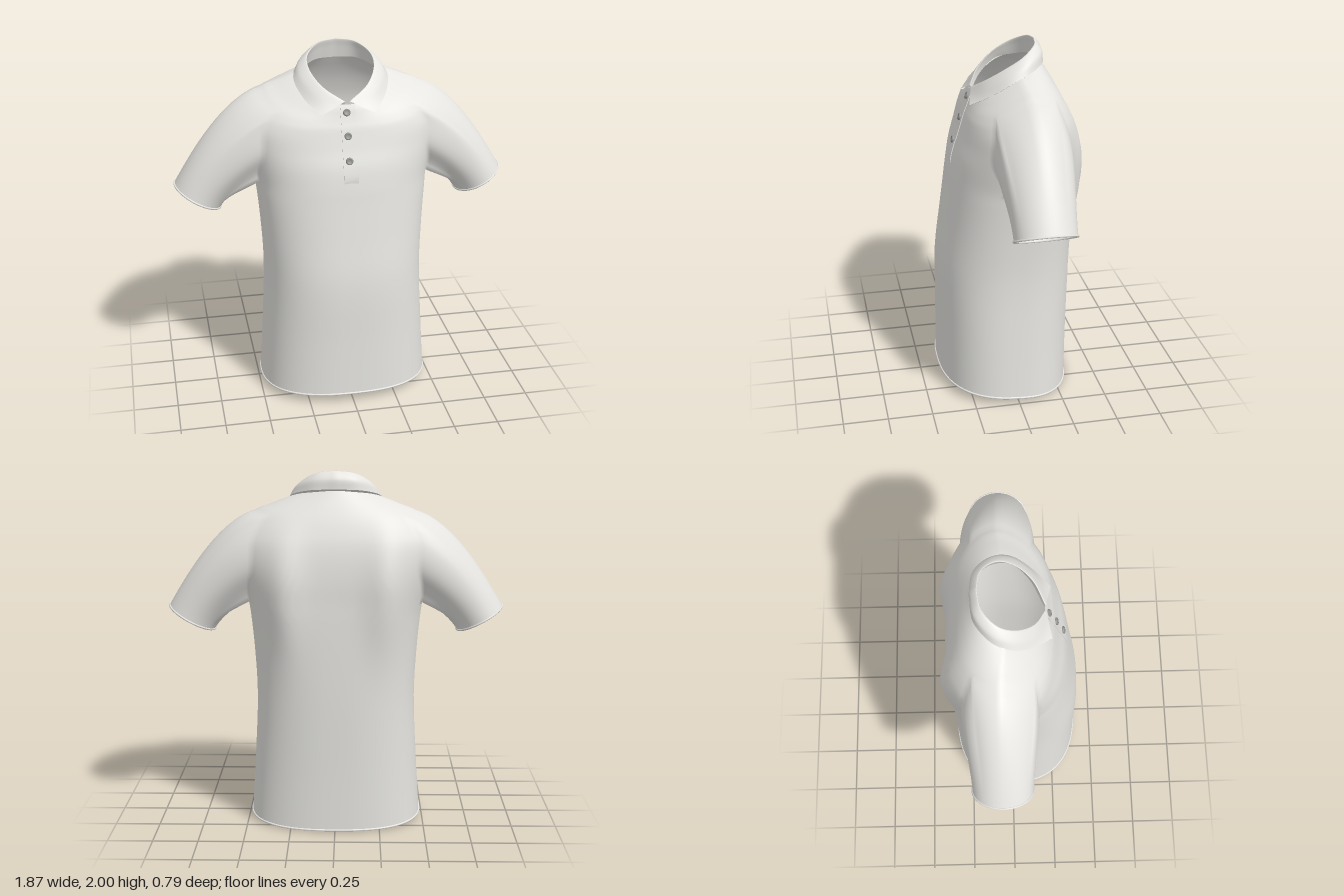
import * as THREE from 'three';
import { mergeGeometries, mergeVertices } from 'three/addons/utils/BufferGeometryUtils.js';

const V = (x, y, z) => new THREE.Vector3(x, y, z);
const curve = (pts, closed = false) => new THREE.CatmullRomCurve3(pts.map((p) => (p.isVector3 ? p : V(...p))), closed);
const mirrorRow = (row) => row.map((p) => V(-p.x, p.y, p.z)).reverse();

// Skin a list of point rows; skip(r, c) leaves a hole.
function loft(rows, closed, skip = () => false) {
  const n = rows[0].length, index = [];
  for (let r = 0; r < rows.length - 1; r++) {
    for (let c = 0; c < (closed ? n : n - 1); c++) {
      if (skip(r, c)) continue;
      const a = r * n + c, b = r * n + ((c + 1) % n);
      index.push(a, a + n, b, b, a + n, b + n);
    }
  }
  const g = new THREE.BufferGeometry();
  g.setAttribute('position', new THREE.Float32BufferAttribute(rows.flat().flatMap((p) => [p.x, p.y, p.z]), 3));
  g.setIndex(index);
  g.computeVertexNormals();
  return g;
}

// Torso profiles from hem to neck: side seam, centre front, centre back.
const SIDE = curve([
  [.485, .035, 0], [.465, .35, 0], [.447, .73, -.01], [.458, 1, -.02], [.475, 1.2, -.04], [.485, 1.28, -.06], [.51, 1.4, -.07],
  [.53, 1.52, -.07], [.53, 1.63, -.07], [.49, 1.72, -.065], [.44, 1.78, -.06], [.36, 1.812, -.055], [.28, 1.842, -.045], [.22, 1.86, -.04]]);
const FRONT = curve([
  [0, .06, .395], [0, .38, .39], [0, .74, .385], [0, 1, .35], [0, 1.2, .322], [0, 1.29, .31], [0, 1.4, .288],
  [0, 1.49, .258], [0, 1.56, .237], [0, 1.61, .222], [0, 1.645, .208], [0, 1.675, .197], [0, 1.705, .187], [0, 1.73, .176]]);
const BACK = curve([
  [0, .01, -.345], [0, .33, -.35], [0, .72, -.36], [0, 1, -.362], [0, 1.2, -.36], [0, 1.3, -.357], [0, 1.42, -.355],
  [0, 1.53, -.345], [0, 1.62, -.328], [0, 1.69, -.305], [0, 1.75, -.28], [0, 1.81, -.248], [0, 1.86, -.217], [0, 1.895, -.195]]);
const KEYS = 13, STEP = 4, COLS = 80;
const ARM = 8, ARM_LOW = 5 * STEP, ARM_TOP = 10 * STEP; // armhole limits on the torso grid

function torsoPoint(r, c) {
  const k = r / STEP, u = k / KEYS;
  let t = (c / COLS) * Math.PI * 2;
  t -= .36 * Math.exp(-(((k - 5) / 1.2) ** 2)) * Math.sin(2 * t); // narrows the armhole at the armpit
  const p = .8 + .2 * THREE.MathUtils.clamp((k - 9) / 4, 0, 1);
  const isBack = Math.sin(t) < 0;
  const depthPower = isBack ? p - .2 * Math.exp(-(((k - 7) / 2) ** 2)) : p; // squarer behind the arms
  const s = Math.abs(Math.sin(t)) ** depthPower, cos = Math.cos(t);
  const side = SIDE.getPoint(u), end = (isBack ? BACK : FRONT).getPoint(u);
  const q = side.clone().lerp(end, s);
  q.x = side.x * Math.sign(cos) * Math.abs(cos) ** p;
  // shoulder blade fullness
  if (isBack) q.z -= .052 * Math.exp(-(((Math.abs(q.x) - .28) / .1) ** 2) - ((q.y - 1.33) / .3) ** 2);
  return q;
}

// Sleeve rows run from the armhole border to an oval cuff.
function sleeveRows(grid) {
  const border = [], at = (r, c) => border.push(grid[r][(c + COLS) % COLS]);
  for (let c = ARM; c > -ARM; c--) at(ARM_TOP, c);
  for (let r = ARM_TOP; r > ARM_LOW; r--) at(r, -ARM);
  for (let c = -ARM; c < ARM; c++) at(ARM_LOW, c);
  for (let r = ARM_LOW; r < ARM_TOP; r++) at(r, ARM);
  const threads = border.map((p) => {
    const a = Math.atan2((p.z + .06) / .2, (p.y - 1.53) / .25);
    const cuff = V(.805 + .125 * Math.cos(a), 1.18 + .07 * Math.cos(a), -.06 + .165 * Math.sin(a));
    const len = p.distanceTo(cuff), drop = -.38 + .13 * Math.cos(a);
    return new THREE.CubicBezierCurve3(p,
      p.clone().addScaledVector(V(.93, drop, 0), len * .3),
      cuff.clone().addScaledVector(V(.5, -.86, 0), -len * .3), cuff);
  });
  return Array.from({ length: 21 }, (_, i) => threads.map((th) => th.getPoint(i / 20)));
}

// Collar: turned-under rim, leaf, rolled fold and inner stand, each half from back to front.
function collarRows() {
  const edge = curve([[0, 1.902, -.21], [.13, 1.897, -.192], [.235, 1.868, -.1], [.26, 1.826, 0], [.222, 1.753, .11], [.145, 1.687, .21]]);
  const fold = curve([[0, 2, -.17], [.1, 1.987, -.15], [.174, 1.94, -.07], [.177, 1.887, .02], [.12, 1.815, .115], [.012, 1.748, .178]]);
  const stand = curve([[0, 1.89, -.19], [.11, 1.885, -.175], [.19, 1.86, -.105], [.21, 1.835, 0], [.15, 1.775, .095], [.015, 1.725, .17]]);
  const half = Array.from({ length: 31 }, (_, i) => {
    const u = i / 30, e = edge.getPoint(u), f = fold.getPoint(u), s = stand.getPoint(u);
    const out = V(e.x, 0, e.z).normalize();
    const under = e.clone().addScaledVector(out, -.018);
    under.y -= .012 * (1 - u ** 4);
    const leaf = e.clone().lerp(f, .6).addScaledVector(out, .02 * (1 - u ** 4));
    const inner = f.clone().lerp(s, .4);
    return [under, e, ...curve([e, leaf, f, inner, s]).getPoints(20)];
  });
  const full = [...half.slice(1).reverse().map((col) => col.map((p) => V(-p.x, p.y, p.z))), ...half];
  return half[0].map((_, r) => full.map((col) => col[r]));
}

export function createModel() {
  const model = new THREE.Group();
  const fabric = new THREE.MeshStandardMaterial({ color: 0xe5e4e0, side: THREE.DoubleSide });
  fabric.name = 'light grey fabric';
  const buttonGrey = new THREE.MeshStandardMaterial({ color: 0x949492, side: THREE.DoubleSide });
  buttonGrey.name = 'button grey';
  const add = (name, geometry, material = fabric) => {
    const mesh = new THREE.Mesh(geometry, material);
    mesh.name = name;
    model.add(mesh);
    return mesh;
  };

  // Body and sleeves share one smooth skin.
  const grid = Array.from({ length: KEYS * STEP + 1 }, (_, r) => Array.from({ length: COLS }, (_, c) => torsoPoint(r, c)));
  const inArmhole = (r, c) => {
    const d = (c + ARM) % (COLS / 2);
    return r >= ARM_LOW && r < ARM_TOP && d < 2 * ARM;
  };
  const leftSleeve = sleeveRows(grid), rightSleeve = leftSleeve.map(mirrorRow);
  const parts = [loft(grid, true, inArmhole), loft(leftSleeve, true), loft(rightSleeve, true)];
  parts.forEach((g) => g.deleteAttribute('normal'));
  const skin = mergeVertices(mergeGeometries(parts), 1e-4);
  skin.computeVertexNormals();
  add('bodyAndSleeves', skin);

  // Rolled hems
  const hem = (name, row) => add(name, new THREE.TubeGeometry(curve(row, true), 120, .006, 8, true));
  hem('bottomHem', grid[0]);
  hem('leftCuff', leftSleeve[20]);
  hem('rightCuff', rightSleeve[20]);

  add('collar', loft(collarRows(), false));

  // Button placket following the chest
  const strip = [[.04, -.005], [.04, .004], [.04, .004], [-.04, .004], [-.04, .004], [-.04, -.005]];
  const placket = Array.from({ length: 31 }, (_, i) => {
    const p = FRONT.getPoint((5.5 + 7.4 * (i / 30)) / KEYS);
    return strip.map(([x, lift]) => V(x, p.y, p.z + lift));
  });
  placket.unshift(placket[0].map((p) => V(p.x, p.y - .02, p.z - .001)));
  add('placket', loft(placket, false));

  // Buttons with a raised rim
  const rim = [[.02, 0], [.02, .007], [.017, .011], [.013, .011], [.01, .007], [0, .007]].map(([x, y]) => new THREE.Vector2(x, y));
  const buttonShape = new THREE.LatheGeometry(rim, 24);
  [[1.692, .194, .45], [1.573, .236, .3], [1.445, .277, .27]].forEach(([y, z, tilt], i) => {
    const button = add('button' + (i + 1), buttonShape, buttonGrey);
    button.position.set(-.007, y, z);
    button.rotation.x = Math.PI / 2 - tilt;
  });
  return model;
}
